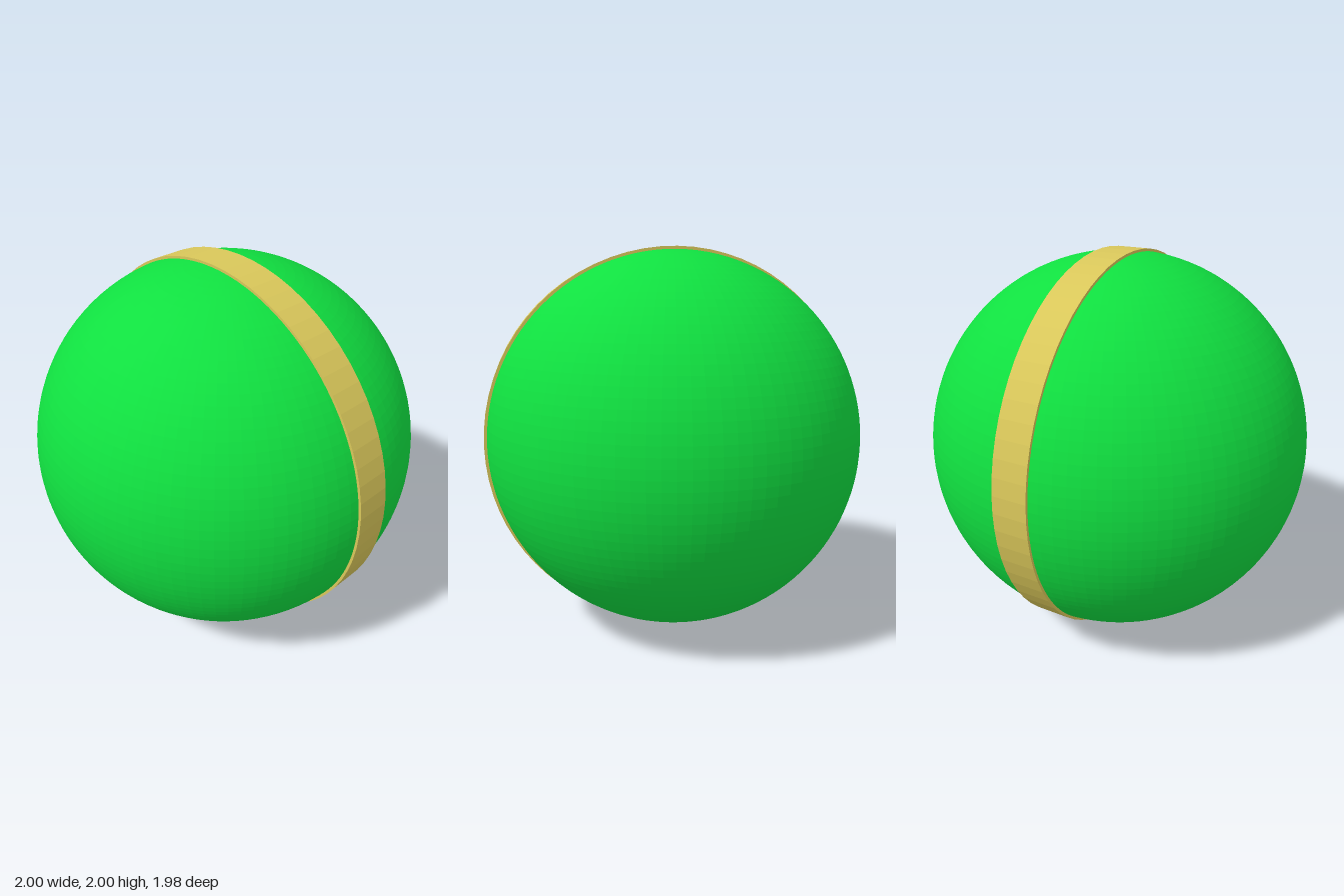
import * as THREE from 'three';

export function createModel() {
  const model = new THREE.Group();
  const add = (name, geometry, color) => {
    const material = new THREE.MeshStandardMaterial({ color, flatShading: true });
    const mesh = new THREE.Mesh(geometry, material);
    mesh.name = name;
    mesh.position.y = 1;
    model.add(mesh);
    return mesh;
  };

  // Ball
  add('ball', new THREE.SphereGeometry(0.99, 96, 64), 0x10e040);

  // Flat band around the ball, slightly proud of its surface
  const inner = 0.975, outer = 1, half = 0.09;
  const section = [
    [inner, -half], [outer, -half], [outer, half], [inner, half], [inner, -half],
  ].map(([r, h]) => new THREE.Vector2(r, h));
  const band = add('band', new THREE.LatheGeometry(section, 72), 0xd9c75a);
  band.rotation.x = Math.PI / 2;
  band.position.z = -0.01;

  return model;
}
